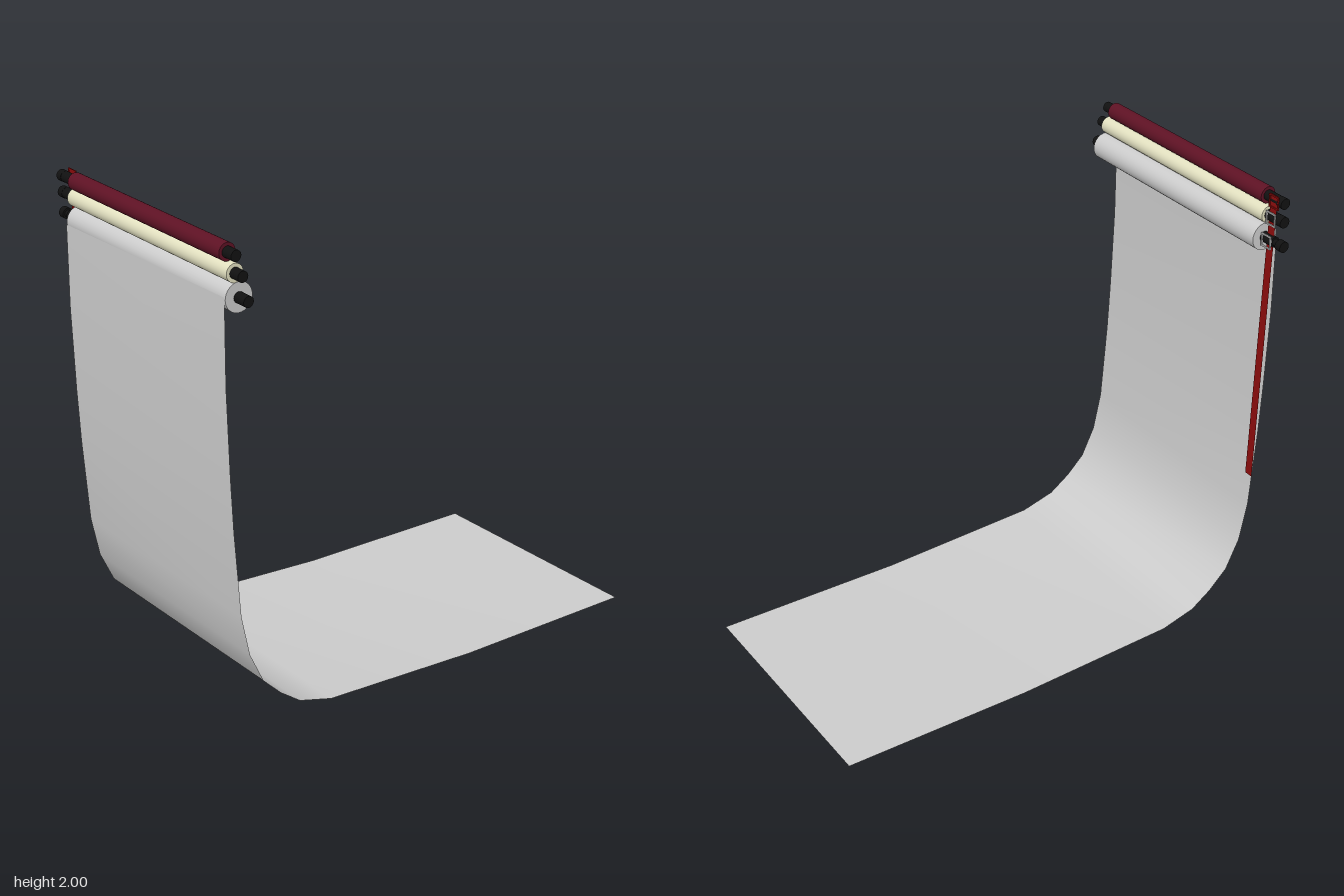
import * as THREE from 'three';

const mat = (color, side = THREE.FrontSide) =>
  new THREE.MeshStandardMaterial({ color, side });
const black = mat(0x111111);
const grey = mat(0xcccccc);
const red = mat(0x8b0c0c, THREE.DoubleSide);

function add(parent, name, geometry, material) {
  const mesh = new THREE.Mesh(geometry, material);
  mesh.name = name;
  parent.add(mesh);
  return mesh;
}

// Cylinder lying along z, from z0 (front) to z1 (back)
function rod(radius, z0, z1, sides = 32) {
  return new THREE.CylinderGeometry(radius, radius, z0 - z1, sides)
    .rotateX(Math.PI / 2)
    .translate(0, 0, (z0 + z1) / 2);
}

// Thin square frame facing +x
function frame(outer, inner, depth) {
  const square = (Type, h) => new Type([
    new THREE.Vector2(-h, -h), new THREE.Vector2(h, -h),
    new THREE.Vector2(h, h), new THREE.Vector2(-h, h)]);
  const shape = square(THREE.Shape, outer);
  shape.holes.push(square(THREE.Path, inner));
  return new THREE.ExtrudeGeometry(shape, { depth, bevelEnabled: false }).rotateY(Math.PI / 2);
}

// Paper roll with spindle ends, knob and buckle
function roller({ name, x, y, r, body, spindle, color }) {
  const g = new THREE.Group();
  g.name = name;
  add(g, 'rollBody', rod(r, body[0], body[1]), mat(color));
  add(g, 'frontSpindle', rod(0.022, spindle[0], body[0], 16), black);
  add(g, 'backCollar', rod(0.022, body[1], -0.57, 16), black);
  add(g, 'backNeck', rod(0.015, -0.57, spindle[1] + 0.03, 16), black);
  add(g, 'backKnob', rod(0.023, spindle[1] + 0.03, spindle[1], 16), black);
  const buckle = add(g, 'buckle', frame(0.028, 0.022, 0.006), name === 'redRoll' ? red : grey);
  buckle.position.set(0.02, 0, -0.543);
  g.position.set(x, y, 0);
  g.rotation.x = 0.024; // the rolls hang slightly askew
  return g;
}

// Hanging sheet that sweeps forward along the floor
function backdrop() {
  const profile = [
    [-0.998, 1.79], [-1, 1.45], [-0.99, 1.1], [-0.98, 0.88], [-0.955, 0.53], [-0.92, 0.36],
    [-0.86, 0.23], [-0.78, 0.15], [-0.69, 0.085], [-0.54, 0.042], [0.17, 0.007], [1, 0.005]];
  const geo = new THREE.PlaneGeometry(1, 1, 1, profile.length - 1);
  const pos = geo.attributes.position;
  for (let i = 0; i < pos.count; i++) {
    const [x, y] = profile[Math.floor(i / 2)];
    const z = i % 2 ? -0.51 : 0.565;
    pos.setXYZ(i, x, y + (0.565 - z) * 0.006 - 0.005, z);
  }
  geo.computeVertexNormals();
  return geo;
}

// Flat pull strap, leaning out a little towards the bottom
function strap() {
  const geo = new THREE.PlaneGeometry(1, 1, 1, 1);
  const pos = geo.attributes.position;
  const corners = [
    [-0.945, 1.995, -0.52], [-0.945, 1.995, -0.56],
    [-0.903, 0.73, -0.54], [-0.903, 0.73, -0.58]];
  corners.forEach((c, i) => pos.setXYZ(i, ...c));
  geo.computeVertexNormals();
  return geo;
}

export function createModel() {
  const model = new THREE.Group();
  model.name = 'backdropRollers';

  const rolls = [
    { name: 'redRoll', x: -0.965, y: 1.953, r: 0.035, body: [0.54, -0.48], spindle: [0.595, -0.585], color: 0x5e1224 },
    { name: 'creamRoll', x: -0.955, y: 1.882, r: 0.036, body: [0.57, -0.505], spindle: [0.62, -0.6], color: 0xe2e0c0 },
    { name: 'greyRoll', x: -0.94, y: 1.79, r: 0.058, body: [0.57, -0.505], spindle: [0.63, -0.625], color: 0xcccccc }];
  rolls.forEach((spec) => model.add(roller(spec)));

  add(model, 'backdropSheet', backdrop(), mat(0xcccccc, THREE.DoubleSide));
  add(model, 'pullStrap', strap(), red);
  return model;
}
